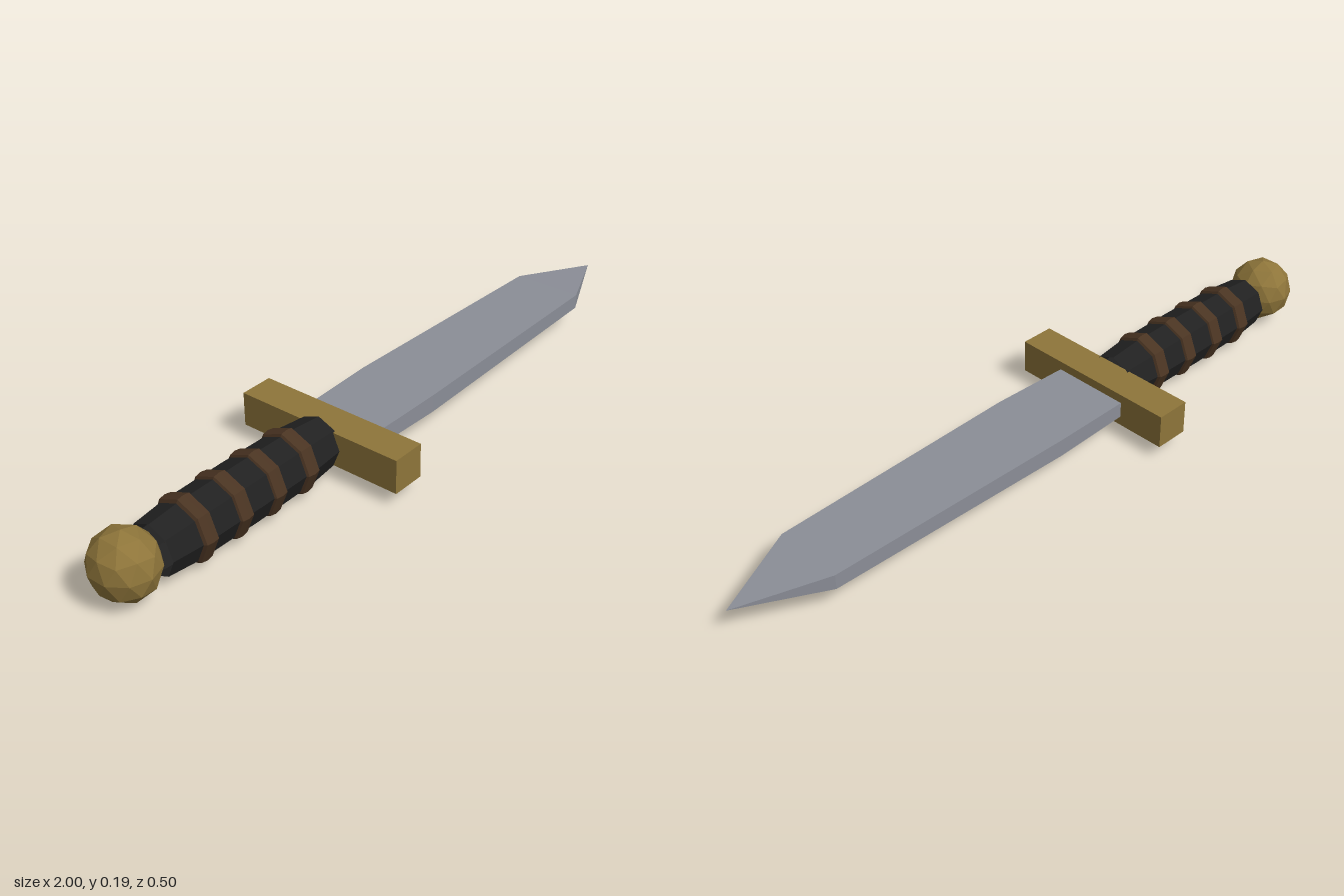
import * as THREE from 'three';

const AXIS_Y = 0.09; // height of the line running through pommel, grip and blade

const steel = new THREE.MeshStandardMaterial({ color: 0x8b8e97 });
steel.name = 'steel';
const brass = new THREE.MeshStandardMaterial({ color: 0x8e753a });
brass.name = 'brass';
const blackLeather = new THREE.MeshStandardMaterial({ color: 0x212121, side: THREE.DoubleSide });
blackLeather.name = 'blackLeather';
const brownLeather = new THREE.MeshStandardMaterial({ color: 0x4a3422, side: THREE.DoubleSide });
brownLeather.name = 'brownLeather';

// Mesh with one normal per face
function faceted(name, geometry, material) {
  const flat = geometry.index ? geometry.toNonIndexed() : geometry;
  flat.computeVertexNormals();
  const mesh = new THREE.Mesh(flat, material);
  mesh.name = name;
  return mesh;
}

// Eight-sided turned part along x, from [x, radius] pairs
function turned(name, profile, material) {
  const points = profile.map(([x, r]) => new THREE.Vector2(r, x));
  const geometry = new THREE.LatheGeometry(points, 8);
  geometry.rotateZ(-Math.PI / 2);
  const mesh = faceted(name, geometry, material);
  mesh.position.y = AXIS_Y;
  return mesh;
}

function createBlade() {
  // Stations along the blade: x, half thickness, half width
  const stations = [
    [-0.18, 0.022, 0.111],
    [0.05, 0.025, 0.116],
    [0.77, 0.021, 0.1],
    [1.0, 0, 0],
  ];
  const geometry = new THREE.BoxGeometry(3, 2, 2, 3, 1, 1);
  const pos = geometry.attributes.position;
  for (let i = 0; i < pos.count; i++) {
    const [x, halfY, halfZ] = stations[Math.round(pos.getX(i) + 1.5)];
    pos.setXYZ(i, x, pos.getY(i) * halfY, pos.getZ(i) * halfZ);
  }
  const blade = faceted('blade', geometry, steel);
  blade.position.y = AXIS_Y;
  return blade;
}

export function createModel() {
  const dagger = new THREE.Group();
  dagger.name = 'dagger';

  dagger.add(createBlade());

  // Crossguard
  const guard = faceted('crossguard', new THREE.BoxGeometry(0.096, 0.096, 0.5), brass);
  guard.position.set(-0.224, 0.089, 0);
  dagger.add(guard);

  // Grip, slightly barrelled
  dagger.add(turned('grip', [
    [-0.835, 0.071], [-0.74, 0.08], [-0.55, 0.082], [-0.36, 0.08], [-0.265, 0.071],
  ], blackLeather));

  // Raised leather bands
  for (let i = 0; i < 4; i++) {
    const x = -0.727 + i * 0.115;
    dagger.add(turned('gripBand', [
      [x - 0.023, 0.078], [x - 0.018, 0.087], [x, 0.09], [x + 0.018, 0.087], [x + 0.023, 0.078],
    ], brownLeather));
  }

  // Faceted pommel, standing on a corner
  const ball = new THREE.IcosahedronGeometry(1, 1);
  ball.rotateX(-Math.atan((1 + Math.sqrt(5)) / 2));
  ball.rotateY(Math.PI / 2);
  ball.scale(0.086, 0.092, 0.09);
  const pommel = faceted('pommel', ball, brass);
  pommel.position.set(-0.914, 0.101, 0);
  dagger.add(pommel);

  return dagger;
}
